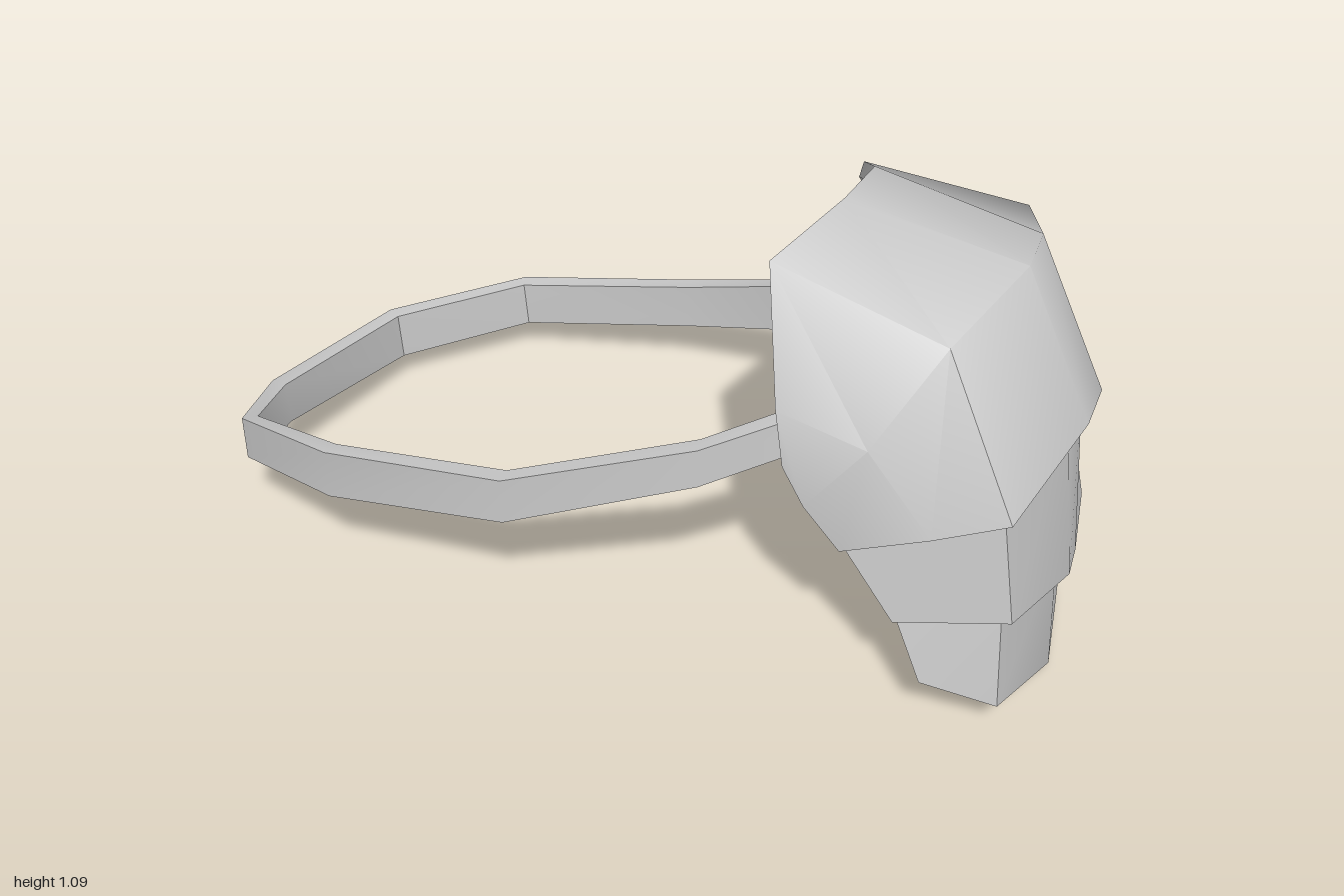
import * as THREE from 'three';
import { toCreasedNormals } from 'three/addons/utils/BufferGeometryUtils.js';

const material = new THREE.MeshStandardMaterial({ color: 0xcccccc });

// Thick shell lofted through rows of [x, y, z] points, thickened inwards
function shell(name, rows, thickness, crease) {
  const R = rows.length, C = rows[0].length, N = R * C;
  const outer = rows.flat(2);
  const at = (r, c) => r * C + c;
  const index = [];
  for (let r = 0; r < R - 1; r++) {
    for (let c = 0; c < C - 1; c++) {
      const a = at(r, c), b = at(r + 1, c), d = at(r + 1, c + 1), e = at(r, c + 1);
      index.push(a, b, e, b, d, e);
    }
  }
  // inner skin: offset against the vertex normals
  const skin = new THREE.BufferGeometry();
  skin.setAttribute('position', new THREE.Float32BufferAttribute(outer, 3));
  skin.setIndex(index);
  skin.computeVertexNormals();
  const n = skin.attributes.normal.array;
  const inner = outer.map((v, i) => v - n[i] * thickness);
  const all = [...index];
  for (let i = 0; i < index.length; i += 3) {
    all.push(index[i] + N, index[i + 2] + N, index[i + 1] + N);
  }
  // rim around the boundary
  const loop = [];
  for (let r = 0; r < R - 1; r++) loop.push(at(r, 0));
  for (let c = 0; c < C - 1; c++) loop.push(at(R - 1, c));
  for (let r = R - 1; r > 0; r--) loop.push(at(r, C - 1));
  for (let c = C - 1; c > 0; c--) loop.push(at(0, c));
  loop.forEach((p, i) => {
    const q = loop[(i + 1) % loop.length];
    all.push(q, p, p + N, q, p + N, q + N);
  });
  const geometry = new THREE.BufferGeometry();
  geometry.setAttribute('position', new THREE.Float32BufferAttribute([...outer, ...inner], 3));
  geometry.setIndex(all);
  const mesh = new THREE.Mesh(toCreasedNormals(geometry, crease), material);
  mesh.name = name;
  return mesh;
}

export function createModel() {
  const group = new THREE.Group();
  group.name = 'shoulderGuard';

  // Domed top plate: neck edge, crest, lower edge, each from front to back
  group.add(shell('topPlate', [
    [[.42, .73, .52], [.40, .87, .515], [.31, 1.07, .29], [.40, 1.095, .05],
      [.41, 1.05, -.16], [.33, .91, -.385], [.42, .69, -.455], [.42, .54, -.475]],
    [[.47, .64, .525], [.60, .83, .53], [.72, 1.02, .39], [.81, 1.03, .07],
      [.80, .98, -.13], [.72, .86, -.41], [.66, .67, -.465], [.49, .46, -.41]],
    [[.55, .53, .515], [.74, .61, .505], [.90, .68, .485], [.985, .715, .15],
      [.985, .68, -.02], [.90, .50, -.33], [.74, .44, -.34], [.56, .375, -.335]],
  ], .038, 0.9));

  // Middle plate, tucked under the top plate
  group.add(shell('middlePlate', [
    [[.50, .59, .48], [.87, .71, .44], [.94, .73, .15],
      [.94, .70, -.02], [.87, .53, -.28], [.57, .39, -.30]],
    [[.67, .34, .49], [.92, .385, .455], [.995, .31, .18],
      [.99, .295, .08], [.96, .25, -.17], [.70, .17, -.205]],
  ], .03, 0.9));

  // Lower plate, tucked under the middle plate
  group.add(shell('lowerPlate', [
    [[.65, .39, .465], [.89, .43, .43], [.96, .36, .17], [.93, .30, -.15], [.68, .22, -.18]],
    [[.74, .18, .49], [.91, .125, .45], [.98, .045, .20], [.94, .005, -.06], [.78, .04, -.12]],
  ], .03, 0.9));

  // Strap: x, z, top and bottom height from the back end round to the front end
  const strap = [
    [.45, -.42, .605, .50], [.20, -.52, .45, .31], [-.16, -.595, .31, .185],
    [-.62, -.54, .245, .12], [-.90, -.29, .24, .107], [-1, .16, .31, .19],
    [-.95, .39, .38, .26], [-.64, .55, .49, .36], [-.19, .59, .57, .45],
    [.24, .53, .73, .63], [.43, .45, .81, .715],
  ];
  group.add(shell('strap', [
    strap.map(([x, z, top]) => [x, top, z]),
    strap.map(([x, z, , bottom]) => [x, bottom, z]),
  ], .038, 0.5));

  return group;
}
